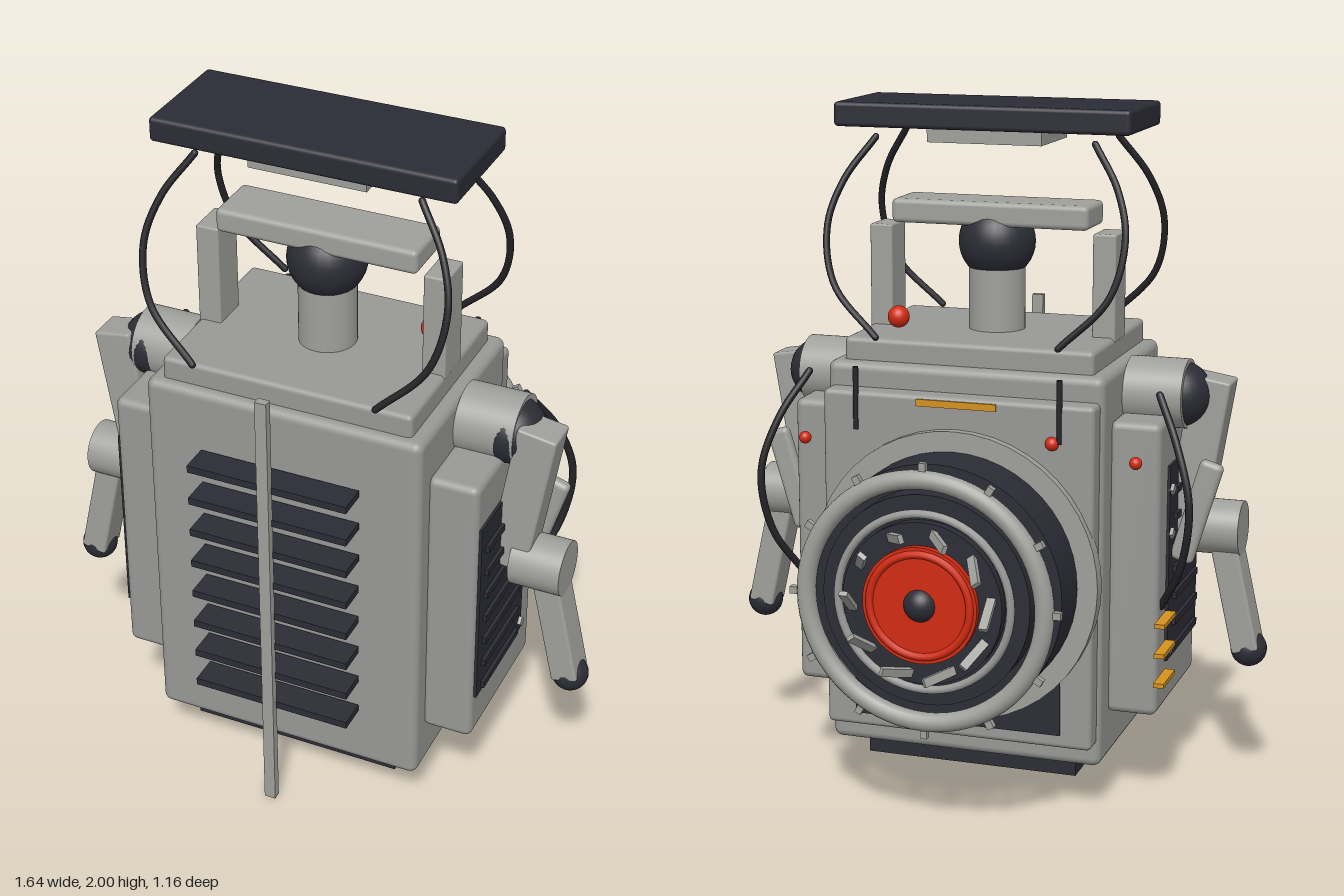
import * as THREE from 'three';
import { RoundedBoxGeometry } from 'three/addons/geometries/RoundedBoxGeometry.js';

const mat = (name, color) => {
  const m = new THREE.MeshStandardMaterial({ color });
  m.name = name;
  return m;
};

export function createModel() {
  const root = new THREE.Group();
  root.name = 'robot';
  const grey = mat('grey metal', 0x989896);
  const light = mat('light grey metal', 0x9f9f9b);
  const dark = mat('dark plastic', 0x2c2c36);
  const black = mat('black cable', 0x232327);
  const red = mat('red lamp', 0xd22a10);
  const amber = mat('amber', 0xd4921e);

  const add = (name, geo, material, x, y, z, rotZ = 0) => {
    const m = new THREE.Mesh(geo, material);
    m.name = name;
    m.position.set(x, y, z);
    m.rotation.z = rotZ;
    root.add(m);
    return m;
  };
  const box = (name, material, w, h, d, x, y, z, r = 0, rotZ = 0) =>
    add(name, r ? new RoundedBoxGeometry(w, h, d, 3, r) : new THREE.BoxGeometry(w, h, d), material, x, y, z, rotZ);
  const ball = (name, material, r, x, y, z) => add(name, new THREE.SphereGeometry(r, 28, 18), material, x, y, z);
  // Cylinder along a chosen axis
  const rod = (name, material, r, len, axis, x, y, z) => {
    const g = new THREE.CylinderGeometry(r, r, len, 48);
    if (axis === 'x') g.rotateZ(Math.PI / 2);
    if (axis === 'z') g.rotateX(Math.PI / 2);
    return add(name, g, material, x, y, z);
  };
  const cable = (name, r, pts) => {
    const curve = new THREE.CatmullRomCurve3(pts.map(p => new THREE.Vector3(...p)));
    add(name, new THREE.TubeGeometry(curve, 32, r, 10), black, 0, 0, 0);
    for (const p of [pts[0], pts[pts.length - 1]]) add(name + 'End', new THREE.SphereGeometry(r, 10, 8), black, ...p);
  };

  // Body
  box('body', grey, 0.82, 1.14, 0.62, 0, 0.71, 0.155, 0.025);
  box('base', dark, 0.64, 0.08, 0.485, 0, 0.12, 0.157);
  box('topPlate', grey, 0.74, 0.085, 0.555, 0, 1.302, 0.157, 0.015);

  // Front louvres and pole
  for (let i = 0; i < 8; i++) box('frontLouvre', dark, 0.475, 0.022, 0.085, 0, 1.09 - i * 0.1065, 0.518);
  box('frontPole', light, 0.034, 1.375, 0.024, 0, 0.688, 0.567);

  // Carry handle, neck and canopy
  rod('neck', light, 0.082, 0.25, 'y', 0, 1.45, 0.155);
  ball('headBall', dark, 0.112, 0, 1.6, 0.155);
  box('handleBar', light, 0.59, 0.07, 0.17, 0, 1.685, 0.155, 0.015);
  box('canopy', dark, 0.875, 0.07, 0.34, 0, 1.965, 0.155, 0.012);
  box('canopyMount', light, 0.34, 0.045, 0.25, 0, 1.912, 0.155);
  ball('topLamp', red, 0.032, 0.265, 1.38, 0.045);

  for (const s of [1, -1]) {
    box('handlePost', light, 0.068, 0.31, 0.115, s * 0.337, 1.485, 0.153, 0.006);

    // Canopy cables
    for (const t of [1, -1]) {
      const z = d => 0.157 + t * d;
      cable('canopyCable', 0.01, [
        [s * 0.325, 1.9, z(0.125)], [s * 0.405, 1.78, z(0.175)], [s * 0.44, 1.65, z(0.22)],
        [s * 0.405, 1.49, z(0.26)], [s * 0.27, 1.35, z(0.288)]]);
    }

    // Side panel with vent
    box('sidePanel', grey, 0.15, 0.86, 0.465, s * 0.475, 0.71, 0.167, 0.022);
    box('sideVent', dark, 0.014, 0.58, 0.35, s * 0.551, 0.71, 0.205);
    for (let i = 0; i < 7; i++) box('sideLouvre', dark, 0.022, 0.02, 0.27, s * 0.558, 0.92 - i * 0.079, 0.215);
    for (const y of [0.93, 0.8, 0.63, 0.455]) {
      const bolt = box('sideBolt', light, 0.016, 0.024, 0.024, s * 0.56, y, 0.045);
      bolt.rotation.x = Math.PI / 4;
    }
    cable('sideCable', 0.011, [
      [s * 0.53, 1.21, 0], [s * 0.6, 1.08, -0.07], [s * 0.645, 0.92, -0.105], [s * 0.62, 0.74, -0.085], [s * 0.55, 0.6, -0.02]]);
    ball('sideLamp', red, 0.018, s * 0.495, 1.04, -0.123);

    // Arm
    rod('shoulder', light, 0.1, 0.17, 'x', s * 0.495, 1.19, 0.14);
    ball('shoulderBall', dark, 0.095, s * 0.55, 1.187, 0.148);
    box('upperArm', light, 0.115, 0.46, 0.105, s * 0.61, 1.01, 0.18, 0.008, s * -0.16);
    box('armStrut', light, 0.07, 0.31, 0.037, s * 0.625, 0.86, 0.08, 0.016, s * -0.29);
    rod('elbow', light, 0.08, 0.15, 'x', s * 0.665, 0.795, 0.18);
    box('forearm', light, 0.078, 0.38, 0.1, s * 0.722, 0.62, 0.18, 0.008, s * 0.22);
    ball('hand', dark, 0.053, s * 0.766, 0.435, 0.18);

    // Rear upright wires
    rod('rearWire', black, 0.008, 0.18, 'y', s * 0.3, 1.19, -0.213);
  }

  // Amber fins on one side
  for (let i = 0; i < 3; i++) box('amberFin', amber, 0.03, 0.013, 0.135, -0.57, 0.57 - i * 0.088, -0.048);

  // Rear panel
  box('rearPanel', grey, 0.8, 1.0, 0.075, 0, 0.71, -0.178, 0.015);
  box('rearGrille', dark, 0.62, 0.2, 0.008, 0, 0.35, -0.216);
  box('amberStrip', amber, 0.235, 0.02, 0.009, 0, 1.19, -0.216);
  ball('rearLamp', red, 0.02, -0.28, 1.1, -0.213);

  // Rear turbine
  const cy = 0.697;
  rod('turbineFlange', light, 0.423, 0.045, 'z', 0, cy, -0.22);
  rod('outerDrum', dark, 0.365, 0.16, 'z', 0, cy, -0.312);
  rod('innerDrum', dark, 0.3, 0.09, 'z', 0, cy, -0.43);
  rod('core', dark, 0.23, 0.05, 'z', 0, cy, -0.48);
  add('rim', new THREE.TorusGeometry(0.345, 0.027, 16, 64), light, 0, cy, -0.488);
  add('innerRing', new THREE.TorusGeometry(0.25, 0.012, 10, 56), grey, 0, cy, -0.49);
  rod('redDisc', red, 0.165, 0.03, 'z', 0, cy, -0.51);
  add('redRing', new THREE.TorusGeometry(0.145, 0.012, 10, 48), red, 0, cy, -0.522);
  ball('hub', dark, 0.05, 0, cy, -0.505);

  // Rim bolts and slanted vanes
  for (let i = 0; i < 12; i++) {
    const a = (i / 12) * Math.PI * 2;
    box('rimBolt', light, 0.035, 0.02, 0.02, Math.cos(a) * 0.375, cy + Math.sin(a) * 0.375, -0.488, 0, a);
  }
  for (let i = 0; i < 10; i++) {
    const a = (i / 10) * Math.PI * 2;
    const vane = box('vane', light, 0.025, 0.014, 0.1, Math.cos(a) * 0.2, cy + Math.sin(a) * 0.2, -0.54);
    vane.rotation.set(0.7, 0, a, 'ZYX');
  }
  return root;
}
